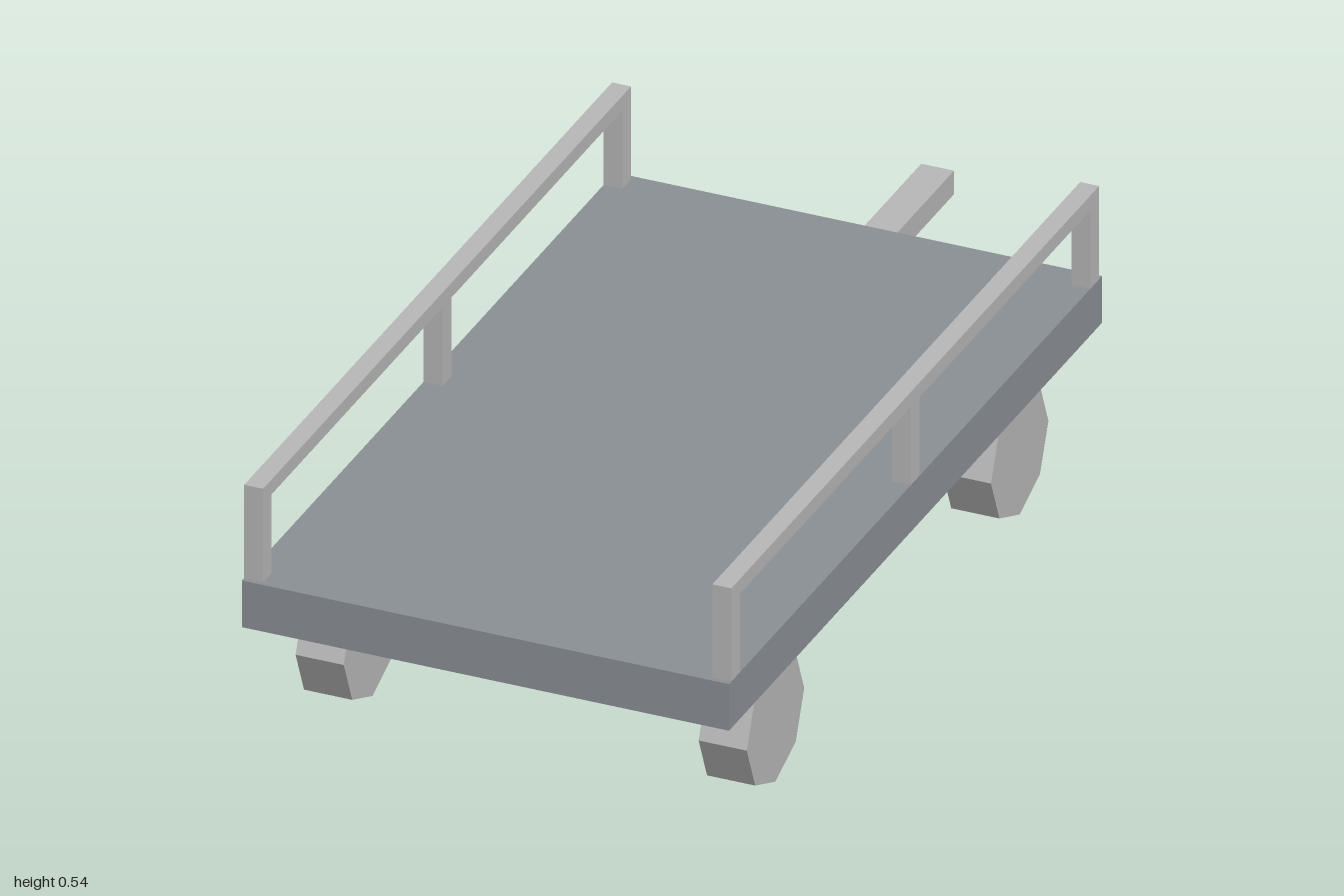
import * as THREE from 'three';

export function createModel() {
  const model = new THREE.Group();
  model.name = 'flatbedTrailer';

  const deckGrey = new THREE.MeshStandardMaterial({ color: 0x8c9196 });
  deckGrey.name = 'deckGrey';
  const lightGrey = new THREE.MeshStandardMaterial({ color: 0xb9b9ba });
  lightGrey.name = 'lightGrey';

  // Box given by its limits on each axis
  function box(name, material, [x0, x1], [y0, y1], [z0, z1], parent = model) {
    const mesh = new THREE.Mesh(new THREE.BoxGeometry(x1 - x0, y1 - y0, z1 - z0), material);
    mesh.position.set((x0 + x1) / 2, (y0 + y1) / 2, (z0 + z1) / 2);
    mesh.name = name;
    parent.add(mesh);
  }

  // Load bed and tow bar
  box('deck', deckGrey, [-0.475, 0.475], [0.255, 0.35], [-0.65, 1]);
  box('towBar', lightGrey, [-0.032, 0.032], [0.242, 0.29], [-1, -0.65]);

  // Octagonal wheels, with corners straight up and down
  const wheelGeometry = new THREE.CylinderGeometry(0.127, 0.127, 0.094, 8).toNonIndexed();
  wheelGeometry.rotateZ(Math.PI / 2);
  wheelGeometry.computeVertexNormals();

  for (const [label, side] of [['left', 1], ['right', -1]]) {
    // Side railing: one top bar on three posts
    const railing = new THREE.Group();
    railing.name = label + 'Railing';
    model.add(railing);
    const xRange = side > 0 ? [0.438, 0.475] : [-0.475, -0.438];
    box('topRail', lightGrey, xRange, [0.51, 0.54], [-0.637, 0.99], railing);
    for (const z of [0.971, 0.177, -0.618]) {
      box('post', lightGrey, xRange, [0.35, 0.51], [z - 0.019, z + 0.019], railing);
    }

    for (const [end, z] of [['Front', 0.715], ['Rear', -0.365]]) {
      const wheel = new THREE.Mesh(wheelGeometry, lightGrey);
      wheel.name = label + end + 'Wheel';
      wheel.position.set(side * 0.393, 0.127, z);
      model.add(wheel);
    }
  }
  return model;
}
